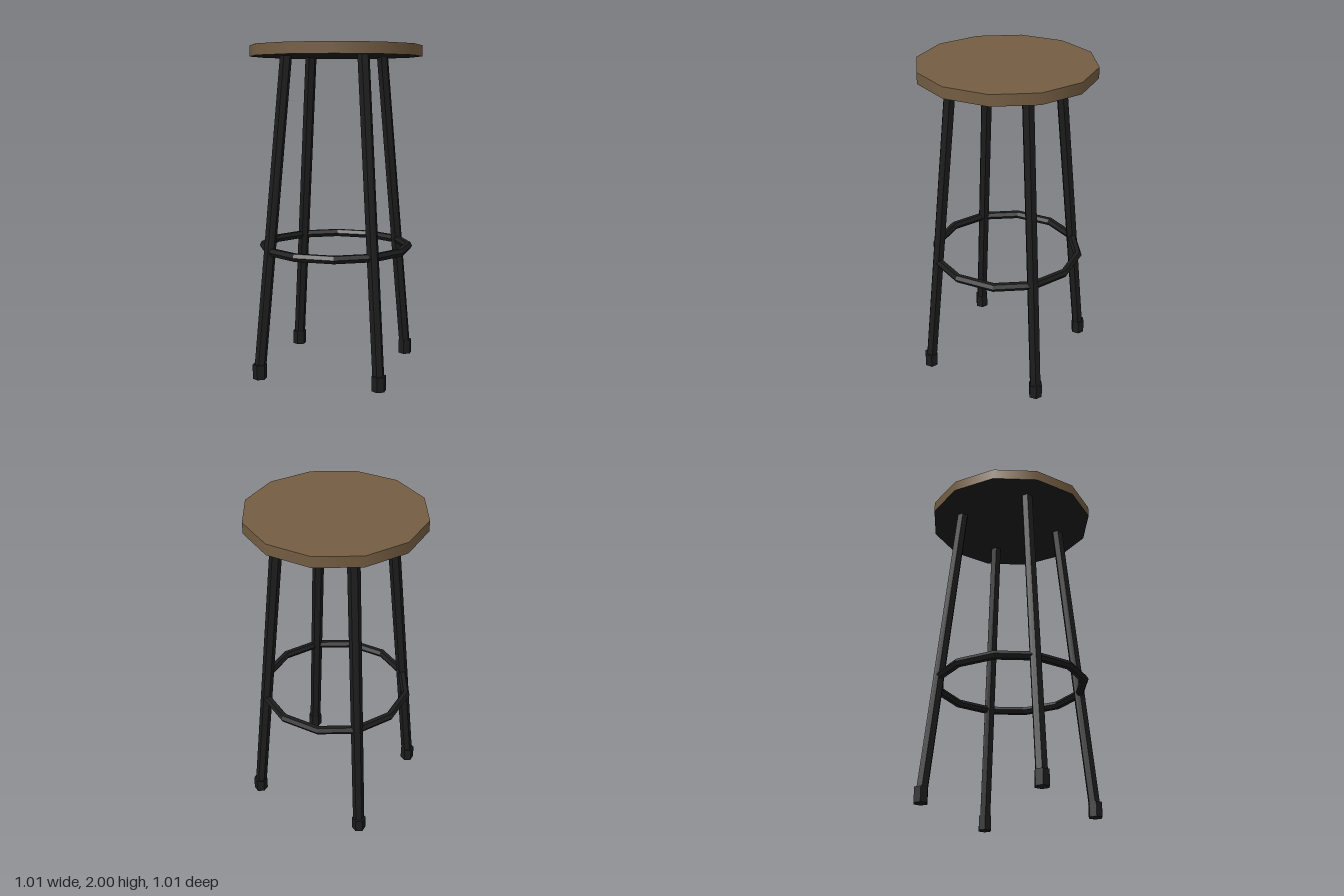
import * as THREE from 'three';

export function createModel() {
  const wood = new THREE.MeshStandardMaterial({ color: 0x745d42 });
  wood.name = 'brown wood';
  const metal = new THREE.MeshStandardMaterial({ color: 0x1c1c1c, flatShading: true });
  metal.name = 'black metal';

  const stool = new THREE.Group();
  stool.name = 'stool';
  const add = (name, geometry, material, x, y, z) => {
    const mesh = new THREE.Mesh(geometry, material);
    mesh.name = name;
    mesh.position.set(x, y, z);
    stool.add(mesh);
    return mesh;
  };

  // Twelve-sided seat: wooden rim and top, black underside
  const seat = new THREE.CylinderGeometry(0.522, 0.522, 0.066, 12);
  seat.rotateY(Math.PI / 12);
  add('seat', seat, [wood, wood, metal], 0, 1.967, 0);

  // Four splayed hexagonal legs with thicker feet
  const legTop = 1.94, topX = 0.234, footX = 0.371;
  for (const sx of [-1, 1]) {
    for (const sz of [-1, 1]) {
      const side = (sz > 0 ? 'front' : 'back') + (sx > 0 ? 'Left' : 'Right');
      const leg = new THREE.CylinderGeometry(0.036, 0.036, legTop - 0.03, 6);
      leg.translate(0, (legTop + 0.03) / 2, 0);
      const p = leg.attributes.position;
      for (let i = 0; i < p.count; i++) {
        const d = THREE.MathUtils.lerp(footX + 0.002, topX, p.getY(i) / legTop);
        p.setX(i, p.getX(i) + sx * d);
        p.setZ(i, p.getZ(i) + sz * d);
      }
      leg.computeVertexNormals();
      add(side + 'Leg', leg, metal, 0, 0, 0);
      add(side + 'Foot', new THREE.CylinderGeometry(0.0435, 0.0435, 0.09, 6), metal,
        sx * footX, 0.045, sz * footX);
    }
  }

  // Foot ring through the legs
  const ring = new THREE.TorusGeometry(0.45, 0.026, 6, 12);
  ring.rotateZ(Math.PI / 12);
  ring.rotateX(Math.PI / 2);
  add('footRing', ring, metal, 0, 0.775, 0);

  return stool;
}
